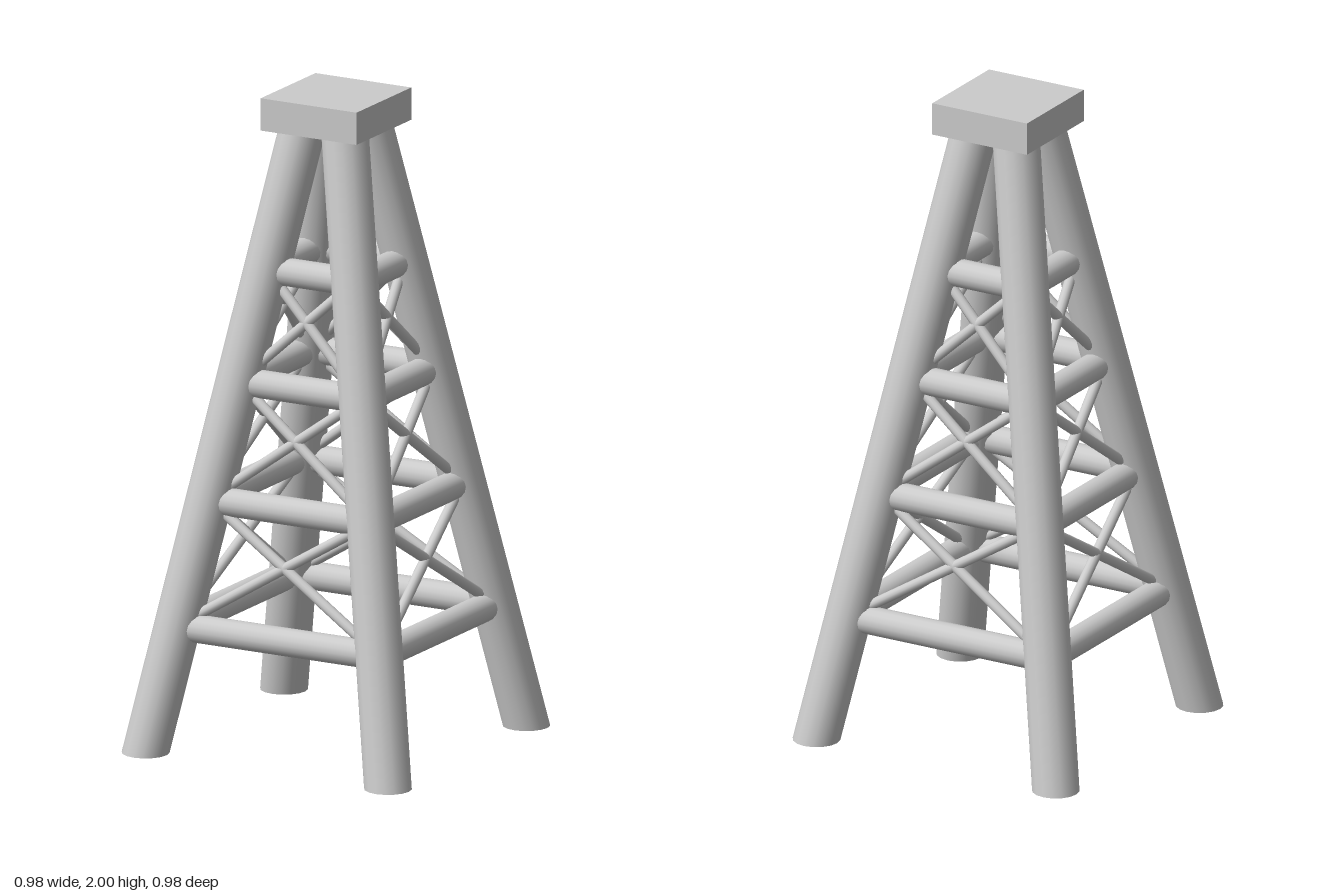
import * as THREE from 'three';

const material = new THREE.MeshStandardMaterial({ color: 0xcccccc });
const CAP_BASE = 1.9;
const FOOT = 0.417, HEAD = 0.073;
// distance of the leg axis from the centre planes at height y
const spread = (y) => THREE.MathUtils.lerp(FOOT, HEAD, y / CAP_BASE);

// round bar between two points
function bar(name, a, b, radius, sides) {
  const dir = b.clone().sub(a);
  const mesh = new THREE.Mesh(new THREE.CylinderGeometry(radius, radius, dir.length(), sides), material);
  mesh.position.copy(a).add(b).multiplyScalar(0.5);
  mesh.quaternion.setFromUnitVectors(new THREE.Vector3(0, 1, 0), dir.normalize());
  mesh.name = name;
  return mesh;
}

// cylinder sheared towards the centre, so foot and head are cut level
function leg(sx, sz) {
  const height = CAP_BASE + 0.02;
  const geometry = new THREE.CylinderGeometry(0.072, 0.072, height, 16);
  const slope = (HEAD - FOOT) / CAP_BASE;
  geometry.translate(0, height / 2, 0);
  geometry.applyMatrix4(new THREE.Matrix4().set(
    1, sx * slope, 0, sx * FOOT,
    0, 1, 0, 0,
    0, sz * slope, 1, sz * FOOT,
    0, 0, 0, 1));
  const mesh = new THREE.Mesh(geometry, material);
  mesh.name = 'leg';
  return mesh;
}

export function createModel() {
  const tower = new THREE.Group();
  tower.name = 'tower';

  // top block
  const cap = new THREE.Mesh(new THREE.BoxGeometry(0.33, 0.1, 0.33), material);
  cap.position.y = 1.95;
  cap.name = 'topBlock';
  tower.add(cap);

  // four leaning legs
  for (const sx of [-1, 1]) for (const sz of [-1, 1]) tower.add(leg(sx, sz));

  // horizontal rails and crossed braces, repeated on each side
  const levels = [0.385, 0.77, 1.13, 1.47];
  const corner = (side, y) => new THREE.Vector3(side * spread(y), y, spread(y));
  for (let i = 0; i < 4; i++) {
    const face = new THREE.Group();
    face.name = 'sideBracing';
    face.rotation.y = i * Math.PI / 2;
    levels.forEach((y, k) => {
      face.add(bar('rail', corner(-1, y), corner(1, y), 0.043, 16));
      if (k === levels.length - 1) return;
      for (const s of [-1, 1]) {
        face.add(bar('crossBrace', corner(s, y), corner(-s, levels[k + 1]), 0.016, 12));
      }
    });
    tower.add(face);
  }
  return tower;
}
